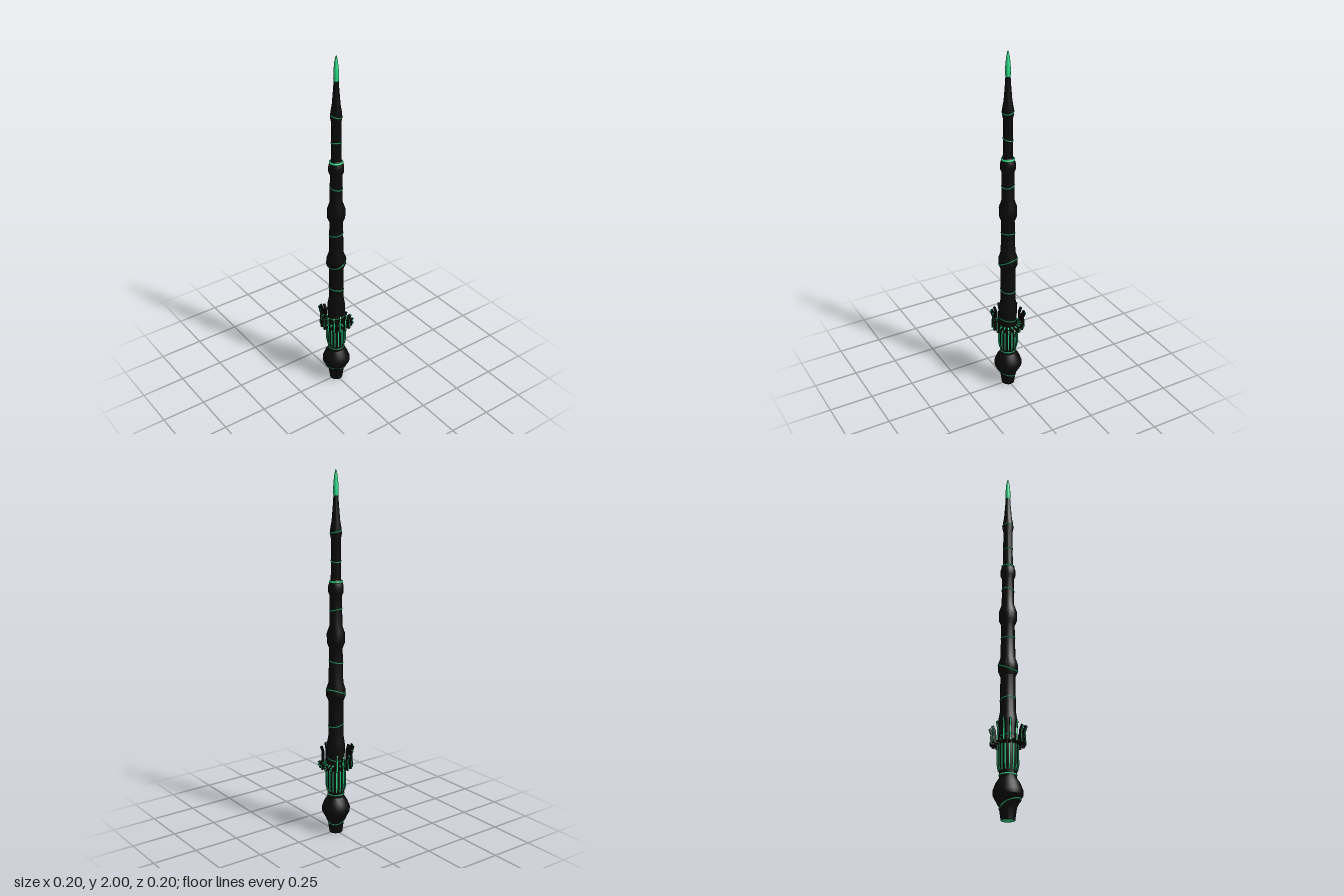
import * as THREE from 'three';
import { toCreasedNormals } from 'three/addons/utils/BufferGeometryUtils.js';

const black = new THREE.MeshStandardMaterial({ color: 0x0a0a0a });
const green = new THREE.MeshStandardMaterial({ color: 0x2ee08c });

// Shaft outline as [radius, height]
const PROFILE = [
  [0.036, 0], [0.045, 0.065], [0.058, 0.09], [0.077, 0.125], [0.078, 0.148], [0.064, 0.185],
  [0.046, 0.213], [0.044, 0.235], [0.053, 0.275], [0.054, 0.4], [0.046, 0.43], [0.051, 0.49],
  [0.048, 0.53], [0.041, 0.57], [0.04, 0.765], [0.053, 0.795], [0.053, 0.83], [0.04, 0.87],
  [0.036, 1.06], [0.048, 1.09], [0.049, 1.14], [0.034, 1.185], [0.033, 1.345], [0.041, 1.365],
  [0.041, 1.395], [0.034, 1.42], [0.027, 1.43], [0.026, 1.645], [0.031, 1.67], [0.029, 1.70],
  [0.022, 1.74], [0.015, 1.83], [0.012, 1.88],
];
const TIP = [[0.012, 1.86], [0.0145, 1.875], [0.0135, 1.92], [0.009, 1.965], [0.004, 1.99], [0, 2]];

function radiusAt(y) {
  for (let i = 1; i < PROFILE.length; i++) {
    const [r0, y0] = PROFILE[i - 1], [r1, y1] = PROFILE[i];
    if (y <= y1) return r0 + (r1 - r0) * (y - y0) / (y1 - y0);
  }
  return 0.012;
}

function mesh(name, geometry, material, parent) {
  const m = new THREE.Mesh(geometry, material);
  m.name = name;
  parent.add(m);
  return m;
}

function lathe(points, sides) {
  return toCreasedNormals(new THREE.LatheGeometry(points.map(p => new THREE.Vector2(...p)), sides), 0.45);
}

// Inlaid band that hugs the shaft, tilted towards x and z
function band(y, tx, tz, thickness) {
  const pts = [];
  for (let i = 0; i < 32; i++) {
    const a = i / 32 * Math.PI * 2;
    const h = y + tx * Math.cos(a) + tz * Math.sin(a);
    const r = radiusAt(h) - thickness * 0.4;
    pts.push(new THREE.Vector3(Math.cos(a) * r, h, Math.sin(a) * r));
  }
  return new THREE.TubeGeometry(new THREE.CatmullRomCurve3(pts, true), 64, thickness, 6, true);
}

// Flat outline in the radius/height plane, given a width and centred on it
function slab(points, width) {
  const shape = new THREE.Shape(points.map(p => new THREE.Vector2(...p)));
  return new THREE.ExtrudeGeometry(shape, { depth: width, bevelEnabled: false }).translate(0, 0, -width / 2);
}

export function createModel() {
  const group = new THREE.Group();
  mesh('shaft', lathe(PROFILE, 32), black, group);
  mesh('tip', lathe(TIP, 16), green, group);
  mesh('baseCap', new THREE.CircleGeometry(0.036, 32).rotateX(Math.PI / 2), green, group);

  // Glowing bands: height, tilt x, tilt z, thickness
  const bands = [
    [0.08, 0.018, 0.018, 0.004], [0.23, 0, 0, 0.005], [0.44, 0.01, 0, 0.004],
    [0.632, 0, 0.009, 0.004], [0.812, -0.01, -0.022, 0.004], [0.987, 0.005, -0.005, 0.004],
    [1.27, -0.006, 0.004, 0.004], [1.42, 0, 0, 0.006], [1.53, 0.006, 0.003, 0.004],
    [1.68, -0.005, 0.005, 0.004],
  ];
  bands.forEach(b => mesh('band', band(...b), green, group));

  // Crown of hooked prongs, low at the back and tall at the front
  const COUNT = 17;
  for (let i = 0; i < COUNT; i++) {
    const a = i / COUNT * Math.PI * 2;
    const back = Math.sin(a) > 0.6;
    const top = back ? 0.412 : 0.485 + 0.015 * Math.cos(a * 3) - 0.012 * Math.sin(a);
    const prong = new THREE.Group();
    prong.name = 'prong';
    prong.rotation.y = a;

    // Inlay running up the grip
    mesh('gripInlay', slab([[0.047, 0.25], [0.051, 0.25], [0.057, 0.28], [0.057, 0.39], [0.047, 0.39]], 0.006), green, prong);
    // Arm reaching outwards
    mesh('arm', slab([[0.045, 0.385], [0.092, 0.385], [0.092, 0.398], [0.045, 0.406]], 0.012), black, prong);
    mesh('armInlay', slab([[0.05, 0.404], [0.08, 0.399], [0.08, 0.403], [0.05, 0.409]], 0.009), green, prong);
    // Upright finger bending at its end
    const mid = 0.395 + (top - 0.395) * 0.6;
    mesh('finger', slab([
      [0.077, 0.387], [0.093, 0.387], [0.089, mid], [0.1, top - 0.006], [0.09, top], [0.077, mid + 0.004],
    ], 0.011), black, prong);
    mesh('fingerInlay', slab([
      [0.092, 0.39], [0.0945, 0.39], [0.0905, mid], [0.1015, top - 0.006], [0.092, top + 0.002], [0.09, top - 0.001], [0.098, top - 0.008], [0.087, mid],
    ], 0.007), green, prong);
    group.add(prong);
  }
  return group;
}
